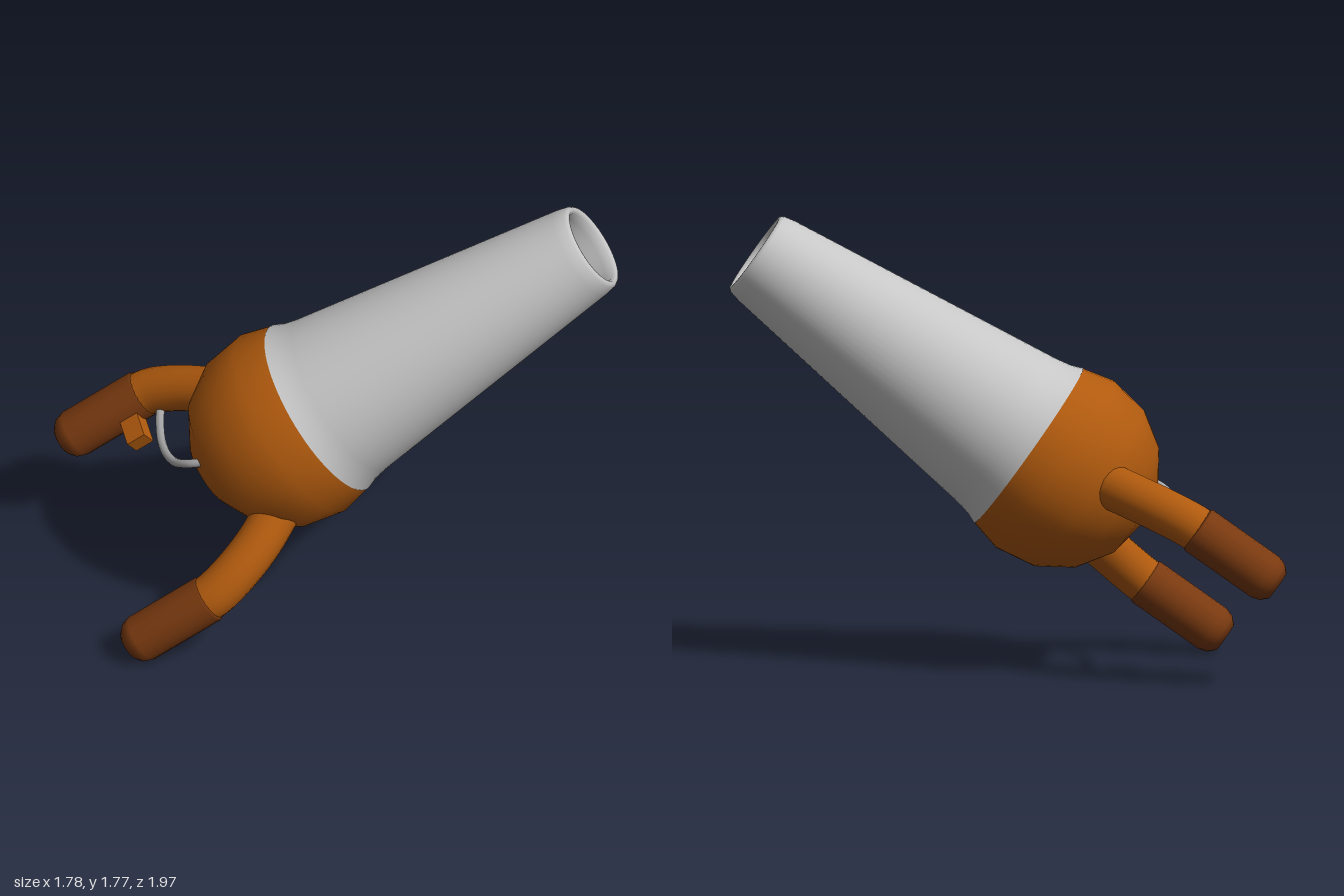
import * as THREE from 'three';

const V = (x, y, z) => new THREE.Vector3(x, y, z);

export function createModel() {
  const mat = (name, color, side = THREE.FrontSide) => {
    const m = new THREE.MeshStandardMaterial({ color, side });
    m.name = name;
    return m;
  };
  const grey = mat('light grey', 0xc6c6c6);
  const orange = mat('burnt orange', 0xb05a0e, THREE.DoubleSide);
  const brown = mat('dark brown', 0x7a3a10);
  const wireGrey = mat('wire grey', 0xa8a8a8);

  const model = new THREE.Group();
  model.name = 'blaster';
  const axis = V(1, 1, 1).normalize();
  const tilt = new THREE.Quaternion().setFromUnitVectors(V(0, 1, 0), axis);

  const add = (name, geometry, material, position, quaternion) => {
    const mesh = new THREE.Mesh(geometry, material);
    mesh.name = name;
    if (position) mesh.position.copy(position);
    if (quaternion) mesh.quaternion.copy(quaternion);
    model.add(mesh);
    return mesh;
  };
  // profile points are [radius, distance along axis]
  const lathe = (profile, segments) =>
    new THREE.LatheGeometry(profile.map(([r, t]) => new THREE.Vector2(r, t)), segments);

  // hollow round body and the long tapering barrel share one axis
  const centre = V(-0.08, 0.811, 0.018);
  add('body', lathe([[0, -0.39], [0.15, -0.365], [0.285, -0.275], [0.37, -0.145],
    [0.397, 0.02], [0.365, 0.15]], 48), orange, centre, tilt);
  add('barrel', lathe([[0.368, 0.145], [0.35, 0.19], [0.338, 0.25], [0.19, 1.39], [0.18, 1.435],
    [0.17, 1.448], [0.158, 1.448], [0.148, 1.435], [0.148, 1.4], [0.3, 0.25], [0.355, 0.15]], 64),
  grey, centre, tilt);

  // two bent arms, each ending in a grip parallel to the barrel
  const arm = (name, bends, end) => {
    const curve = new THREE.CatmullRomCurve3(bends.map((p) => V(...p)));
    add(name + 'Arm', new THREE.TubeGeometry(curve, 16, 0.09, 20), orange);
    const grip = lathe([[0, 0], [0.06, 0], [0.085, 0.025], [0.096, 0.06], [0.096, 0.375], [0.088, 0.385], [0, 0.385]], 20);
    add(name + 'Grip', grip, brown, V(...end), tilt);
  };
  arm('front', [[-0.63, 0.27, 0.07], [-0.59, 0.31, 0.105], [-0.51, 0.385, 0.14], [-0.4, 0.48, 0.16], [-0.28, 0.59, 0.16]],
    [-0.825, 0.075, -0.125]);
  arm('rear', [[-0.17, 0.62, -0.73], [-0.135, 0.655, -0.69], [-0.095, 0.7, -0.59], [-0.06, 0.745, -0.45], [-0.035, 0.79, -0.28]],
    [-0.365, 0.425, -0.925]);

  // trigger block on the rear grip, pointing towards the front grip
  const out = V(-0.46, -0.35, 0.81).normalize();
  const side = new THREE.Vector3().crossVectors(out, axis);
  const turn = new THREE.Quaternion().setFromRotationMatrix(
    new THREE.Matrix4().makeBasis(out, axis, side));
  add('trigger', new THREE.BoxGeometry(0.15, 0.08, 0.07), orange,
    V(-0.19, 0.6, -0.745).addScaledVector(out, 0.115), turn);

  // thin wire guard from the rear arm to the body
  const wire = new THREE.CatmullRomCurve3([V(-0.13, 0.63, -0.62), V(-0.2, 0.62, -0.56),
    V(-0.34, 0.64, -0.41), V(-0.43, 0.68, -0.26), V(-0.44, 0.72, -0.17), V(-0.4, 0.75, -0.09)]);
  add('wireGuard', new THREE.TubeGeometry(wire, 32, 0.017, 10), wireGrey);

  return model;
}
